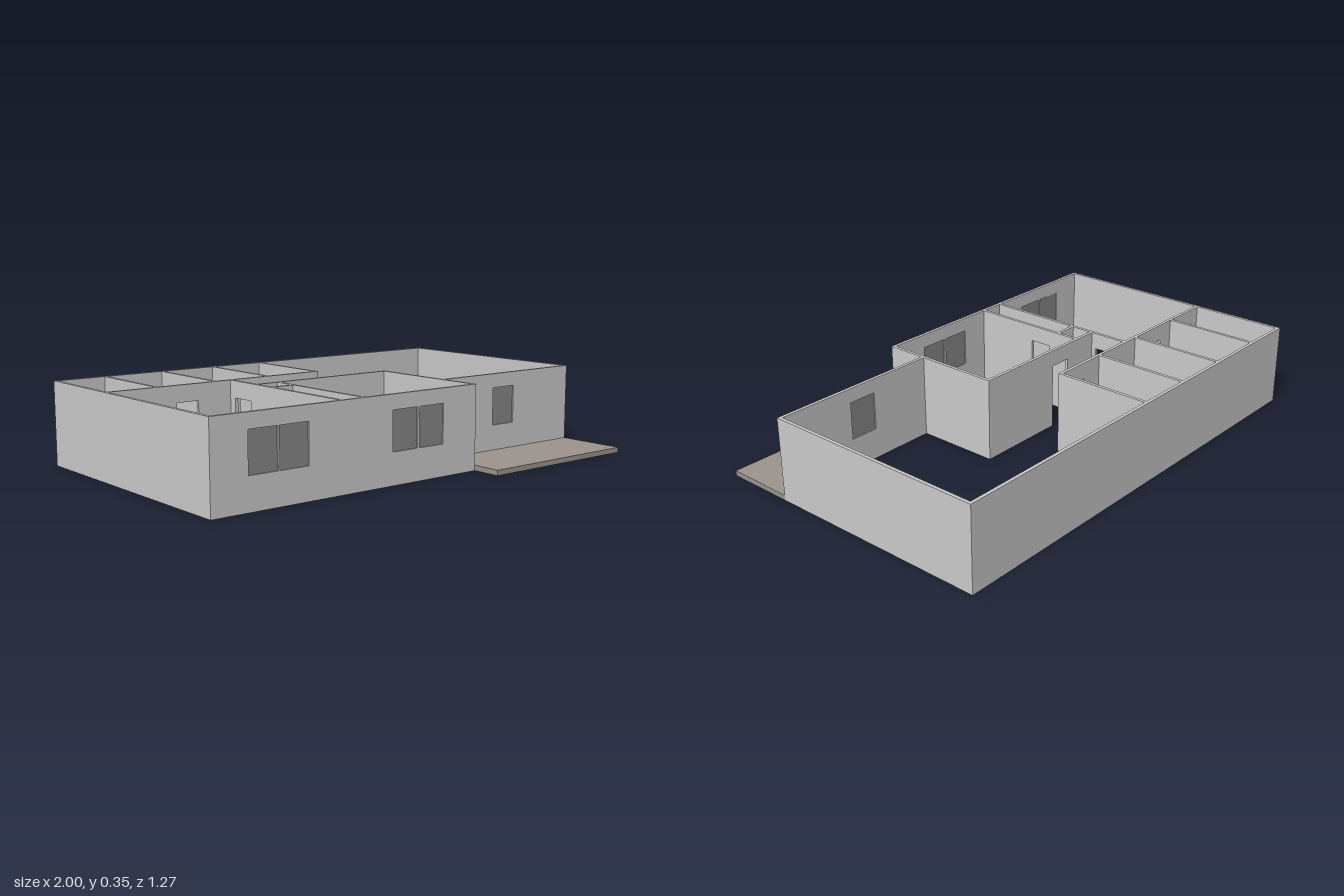
import * as THREE from 'three';

const T = 0.014, H = 0.35, DOOR = 0.28;
const grey = new THREE.MeshStandardMaterial({ color: 0xcccccc, side: THREE.DoubleSide });
const glass = new THREE.MeshStandardMaterial({ color: 0x888888 });
const slab = new THREE.MeshStandardMaterial({ color: 0x9c958e });

function add(parent, name, geo, mat, x = 0, y = 0, z = 0) {
  const m = new THREE.Mesh(geo, mat);
  m.name = name;
  m.position.set(x, y, z);
  parent.add(m);
  return m;
}

function rectPath(Type, x0, y0, x1, y1) {
  return new Type([[x0, y0], [x1, y0], [x1, y1], [x0, y1]].map(p => new THREE.Vector2(...p)));
}

// Straight wall from a to b along x or z, centred on c, with door notches and window panes
function wall(parent, name, axis, c, a, b, doors = [], windows = []) {
  const pts = [[a, 0]];
  for (const [d0, d1] of doors) pts.push([d0, 0], [d0, DOOR], [d1, DOOR], [d1, 0]);
  pts.push([b, 0], [b, H], [a, H]);
  const shape = new THREE.Shape(pts.map(p => new THREE.Vector2(...p)));
  for (const [w0, w1] of windows) shape.holes.push(rectPath(THREE.Path, w0, 0.13, w1, 0.29));
  const g = new THREE.Group();
  g.name = name;
  const geo = new THREE.ExtrudeGeometry(shape, { depth: T, bevelEnabled: false });
  add(g, name + 'Panel', geo.translate(0, 0, -T / 2), grey);
  for (const [w0, w1] of windows)
    add(g, 'windowPane', new THREE.BoxGeometry(w1 - w0, 0.16, 0.004), glass, (w0 + w1) / 2, 0.21, 0);
  if (axis === 'x') g.position.z = c;
  else { g.rotation.y = -Math.PI / 2; g.position.x = c; }
  parent.add(g);
}

// Toilet: bowl points along +x, tank against x = 0
function toilet(parent, x, z, dir) {
  const g = new THREE.Group();
  g.name = 'toilet';
  add(g, 'tank', new THREE.BoxGeometry(0.025, 0.06, 0.064), grey, 0.0135, 0.085, 0);
  const profile = [[0, 0], [0.02, 0], [0.018, 0.025], [0.034, 0.05], [0.036, 0.062], [0, 0.062]];
  const bowl = new THREE.LatheGeometry(profile.map(p => new THREE.Vector2(...p)), 24);
  add(g, 'bowl', bowl.scale(1.25, 1, 0.95), grey, 0.07, 0, 0);
  add(g, 'base', new THREE.BoxGeometry(0.045, 0.055, 0.035), grey, 0.035, 0.0275, 0);
  g.position.set(x, 0, z);
  g.rotation.y = dir > 0 ? 0 : Math.PI;
  parent.add(g);
}

// Bathtub: rim and sides with a sunken basin
function bathtub(parent) {
  const g = new THREE.Group();
  g.name = 'bathtub';
  const shape = rectPath(THREE.Shape, -0.122, -0.056, 0.122, 0.056);
  shape.holes.push(rectPath(THREE.Path, -0.11, -0.045, 0.11, 0.045));
  const geo = new THREE.ExtrudeGeometry(shape, { depth: 0.07, bevelEnabled: false });
  add(g, 'tubSides', geo.rotateX(-Math.PI / 2), grey);
  add(g, 'tubFloor', new THREE.BoxGeometry(0.244, 0.015, 0.112), grey, 0, 0.0075, 0);
  g.position.set(-0.638, 0, -0.564);
  parent.add(g);
}

// Half-round pedestal sink with its flat side to +x
function sink(parent) {
  const g = new THREE.Group();
  g.name = 'sink';
  const profile = [[0, 0.075], [0.025, 0.08], [0.045, 0.1], [0.052, 0.12], [0.046, 0.12], [0.03, 0.095], [0, 0.088]];
  const bowl = new THREE.LatheGeometry(profile.map(p => new THREE.Vector2(...p)), 20, Math.PI, Math.PI);
  add(g, 'basin', bowl.scale(0.95, 1, 1), grey, -0.015, 0, 0);
  add(g, 'backLedge', new THREE.BoxGeometry(0.015, 0.045, 0.104), grey, -0.0075, 0.0975, 0);
  add(g, 'pedestal', new THREE.CylinderGeometry(0.013, 0.017, 0.08, 16), grey, -0.025, 0.04, 0);
  g.position.set(-0.525, 0, -0.283);
  parent.add(g);
}

export function createModel() {
  const house = new THREE.Group();
  house.name = 'house';
  const e = T / 2;

  // Outer walls
  wall(house, 'backWall', 'x', -0.635 + e, -1, 1);
  wall(house, 'rightWall', 'z', -1 + e, -0.635, 0.51);
  wall(house, 'leftWall', 'z', 1 - e, -0.635, 0.335);
  wall(house, 'frontWall', 'x', 0.51 - e, -1, 0.248, [],
    [[-0.845, -0.72], [-0.713, -0.585], [-0.19, -0.065], [-0.055, 0.07]]);
  wall(house, 'porchWall', 'x', 0.335 - e, 0.236, 1, [], [[0.53, 0.655]]);
  wall(house, 'porchSideWall', 'z', 0.248 - e, -0.04, 0.51);

  // Inner walls
  wall(house, 'hallWall', 'x', -0.21, -1, 0.012,
    [[-0.94, -0.83], [-0.69, -0.59], [-0.39, -0.29], [-0.14, -0.03]]);
  for (const x of [-0.773, -0.503, -0.246, 0.005]) wall(house, 'roomDivider', 'z', x, -0.63, -0.21);
  wall(house, 'bedroomWall', 'z', -0.43, -0.21, 0.505, [[-0.17, -0.06]]);
  wall(house, 'closetWall', 'z', -0.323, -0.04, 0.505, [[0.11, 0.21]]);
  wall(house, 'closetEnd', 'x', 0.07, -0.43, -0.323);
  wall(house, 'frontRoomWall', 'x', -0.033, -0.43, 0.248, [[-0.255, -0.155]]);

  // Porch slab, cabinet and bathroom fixtures
  add(house, 'porch', new THREE.BoxGeometry(0.752, 0.022, 0.3), slab, 0.624, 0.011, 0.485);
  add(house, 'utilityCabinet', new THREE.BoxGeometry(0.098, 0.12, 0.098), grey, -0.376, 0.06, 0.017);
  bathtub(house);
  sink(house);
  toilet(house, -0.51, -0.423, -1);
  toilet(house, -0.239, -0.417, 1);
  return house;
}
